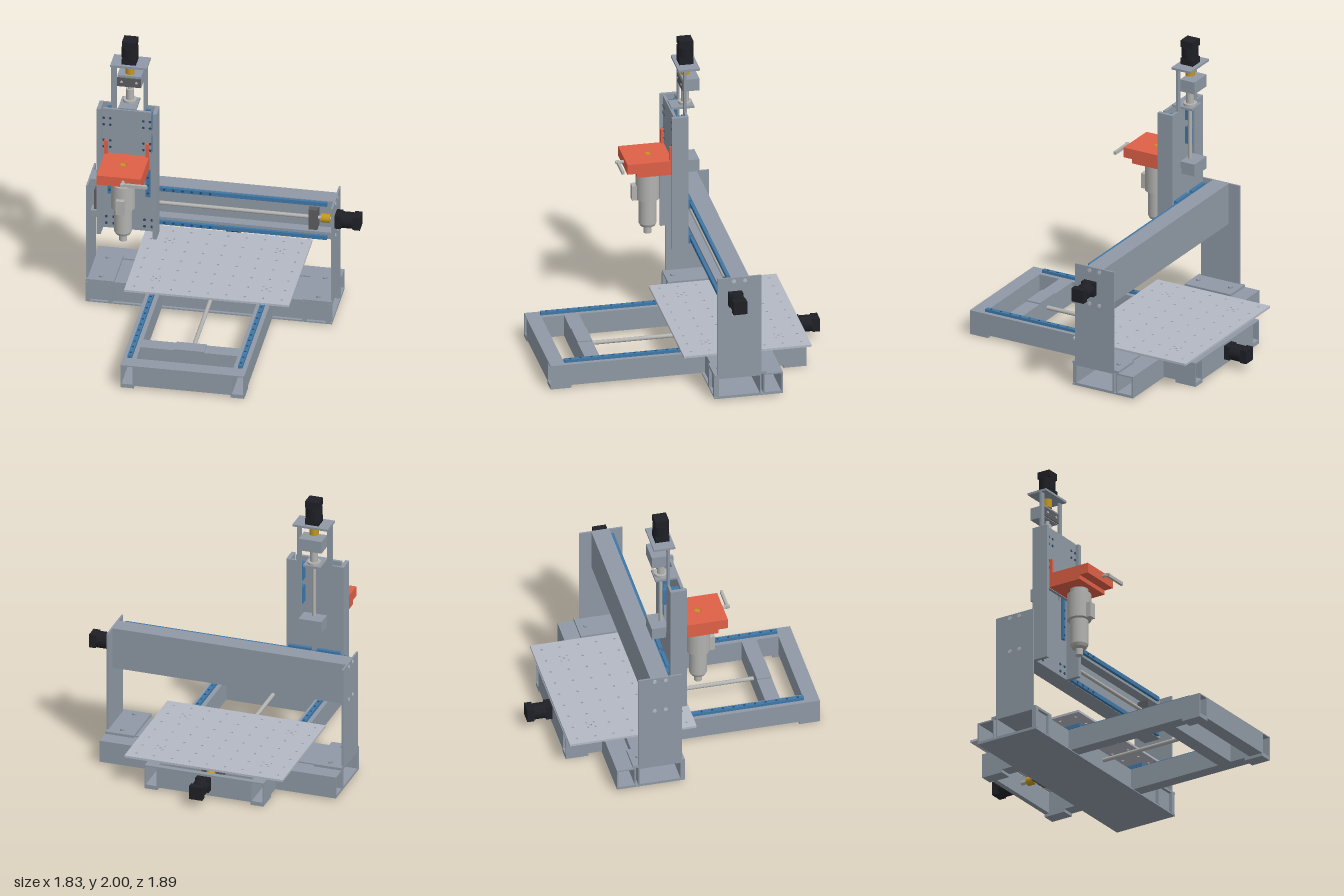
import * as THREE from 'three';

const mat = (color) => new THREE.MeshStandardMaterial({ color });
const steel = mat(0x8f99a5), plate = mat(0xb4b9c4), blue = mat(0x3f78a8), navy = mat(0x2c4a66);
const black = mat(0x1f2026), orange = mat(0xdf6047), gold = mat(0xc2971f), silver = mat(0xb2b2b0), dark = mat(0x5c5d60);

export function createModel() {
  const model = new THREE.Group();
  const add = (name, geo, m, x = 0, y = 0, z = 0) => {
    const mesh = new THREE.Mesh(geo, m);
    mesh.name = name;
    mesh.position.set(x, y, z);
    model.add(mesh);
    return mesh;
  };
  // Box given by its limits on each axis
  const box = (name, m, x0, x1, y0, y1, z0, z1) =>
    add(name, new THREE.BoxGeometry(x1 - x0, y1 - y0, z1 - z0), m, (x0 + x1) / 2, (y0 + y1) / 2, (z0 + z1) / 2);
  // Cylinder centred at a point, along the given axis
  const rod = (name, m, r, len, axis, x, y, z, seg = 24, r2 = r) => {
    const g = new THREE.CylinderGeometry(r, r2, len, seg);
    if (axis === 'x') g.rotateZ(Math.PI / 2);
    if (axis === 'z') g.rotateX(Math.PI / 2);
    return add(name, g, m, x, y, z);
  };
  const rect = (T, x0, x1, y0, y1) => {
    const s = new T();
    s.moveTo(x0, y0); s.lineTo(x1, y0); s.lineTo(x1, y1); s.lineTo(x0, y1); s.closePath();
    return s;
  };
  const extrude = (shape, depth) => new THREE.ExtrudeGeometry(shape, { depth, bevelEnabled: false, curveSegments: 6 });
  // Open rectangular tubes along z and along x
  const tubeShape = (a0, a1, y0, y1, t) => {
    const s = rect(THREE.Shape, a0, a1, y0, y1);
    s.holes.push(rect(THREE.Path, a0 + t, a1 - t, y0 + t, y1 - t));
    return s;
  };
  const tubeZ = (name, x0, x1, y0, y1, z0, z1) =>
    add(name, extrude(tubeShape(x0, x1, y0, y1, 0.008), z1 - z0), steel, 0, 0, z0);
  const tubeX = (name, x0, x1, y0, y1, z0, z1) => {
    const g = extrude(tubeShape(-z1, -z0, y0, y1, 0.01), x1 - x0);
    g.rotateY(Math.PI / 2);
    return add(name, g, steel, x0);
  };
  // Stepper motor: square end caps and an eight-sided middle, from start along +axis
  const motor = (name, x, y, z, len, rx, rz) => {
    const g = new THREE.Group();
    g.name = name;
    const part = (w, y0, y1, geo) => {
      const m = new THREE.Mesh(geo || new THREE.BoxGeometry(w, y1 - y0, w), black);
      m.position.y = (y0 + y1) / 2;
      m.name = name + 'Part';
      g.add(m);
    };
    part(0.095, 0, len * 0.25);
    part(0, len * 0.25, len * 0.72, new THREE.CylinderGeometry(0.056, 0.056, len * 0.47, 8).rotateY(Math.PI / 8));
    part(0.093, len * 0.72, len);
    g.position.set(x, y, z);
    g.rotation.set(rx, 0, rz);
    model.add(g);
  };

  // Longitudinal base tubes, feet, linear rails and table bearings
  for (const [x0, x1] of [[-0.49, -0.4], [0.25, 0.34]]) {
    const c = (x0 + x1) / 2;
    tubeZ('baseRailTube', x0, x1, 0.02, 0.17, -0.775, 0.95);
    box('foot', steel, x0, x1, 0, 0.02, 0.81, 0.95);
    box('foot', steel, x0, x1, 0, 0.02, -0.775, -0.62);
    box('tableRail', blue, c - 0.015, c + 0.015, 0.17, 0.19, -0.68, 0.85);
    for (let z = -0.64; z < 0.84; z += 0.0725) rod('railScrew', navy, 0.008, 0.004, 'y', c, 0.19, z, 10);
    for (const z of [-0.07, -0.59]) box('tableBearing', blue, c - 0.033, c + 0.033, 0.178, 0.205, z - 0.06, z + 0.06);
  }
  // Cross beams between the base tubes
  for (const [z0, z1] of [[0.85, 0.95], [0.6, 0.7], [-0.775, -0.74]]) box('crossBeam', steel, -0.4, 0.25, 0.02, 0.17, z0, z1);
  for (const [z0, z1] of [[-0.385, -0.09], [-0.53, -0.4]]) {
    tubeX('gantryBaseTube', -0.91, -0.49, 0.022, 0.168, z0, z1);
    box('gantryBaseMiddle', steel, -0.4, 0.25, 0.022, 0.168, z0, z1);
    tubeX('gantryBaseTube', 0.34, 0.74, 0.022, 0.168, z0, z1);
  }
  box('basePlate', steel, -0.91, 0.74, 0.014, 0.024, -0.53, -0.07);

  // Table drive
  rod('tableScrew', silver, 0.014, 1.37, 'z', -0.075, 0.11, -0.055);
  box('tableScrewBearing', dark, -0.15, 0.0, 0.07, 0.165, 0.61, 0.65);
  box('bearingSeat', steel, -0.175, 0.025, 0.165, 0.178, 0.6, 0.7);
  box('tableScrewBearing', dark, -0.15, 0.0, 0.07, 0.165, -0.61, -0.56);
  rod('tableCoupling', gold, 0.03, 0.06, 'z', -0.075, 0.11, -0.66);
  box('tableNutBlock', steel, -0.15, 0.0, 0.16, 0.205, -0.43, -0.3);
  motor('tableMotor', -0.075, 0.108, -0.775, 0.17, -Math.PI / 2, 0);

  // Drilled work table
  const table = rect(THREE.Shape, -0.625, 0.48, -0.08, 0.78);
  const drill = (x, y, r) => { const p = new THREE.Path(); p.absarc(x, y, r, 0, Math.PI * 2, true); table.holes.push(p); };
  for (let i = 0; i < 9; i++) for (let j = 0; j < 7; j++) drill(-0.57 + i * 0.1235, -0.022 + j * 0.1235, 0.009);
  for (const x of [-0.445, 0.295]) for (const y of [0.1, 0.595])
    for (const sx of [-1, 1]) for (const sy of [-1, 1]) drill(x + sx * 0.025, y + sy * 0.025, 0.007);
  add('workTable', extrude(table, 0.015).rotateX(-Math.PI / 2), plate, 0, 0.205, 0);

  // Gantry corner plates, brackets and uprights
  for (const [x0, x1, out] of [[-0.91, -0.72, -0.905], [0.54, 0.74, 0.735]]) {
    box('cornerPlate', steel, x0, x1, 0.168, 0.185, -0.42, -0.07);
    for (const [a, b] of [[x0, x0 + 0.03], [x1 - 0.04, x1 - 0.01]]) box('cornerBracket', steel, a, b, 0.024, 0.168, -0.092, -0.068);
    for (const z of [-0.365, -0.12]) rod('cornerBolt', steel, 0.015, 0.014, 'y', (x0 + x1) / 2, 0.188, z, 12);
    box('gantryUpright', steel, out - 0.006, out + 0.006, 0.16, 0.89, -0.385, -0.09);
    for (const y of [0.625, 0.865]) for (const z of [-0.2, -0.275]) rod('uprightBolt', plate, 0.014, 0.02, 'x', out, y, z, 12);
  }
  // Gantry beam as a channel open to the front, with its rails
  box('beamBack', steel, -0.9, 0.73, 0.6, 0.89, -0.302, -0.25);
  box('beamTop', steel, -0.9, 0.73, 0.84, 0.89, -0.25, -0.18);
  box('beamBottom', steel, -0.9, 0.73, 0.6, 0.65, -0.25, -0.18);
  for (const y of [0.872, 0.617]) {
    box('gantryRail', blue, -0.85, 0.69, y - 0.014, y + 0.014, -0.18, -0.16);
    for (let x = -0.4; x < -0.05; x += 0.0615) rod('railScrew', navy, 0.009, 0.004, 'z', x, y, -0.16, 10);
    for (const x of [-0.73, -0.53]) box('carriageBearing', blue, x - 0.08, x + 0.08, y - 0.03, y + 0.03, -0.172, -0.145);
  }
  // Gantry drive
  rod('gantryScrew', silver, 0.013, 1.6, 'x', -0.07, 0.745, -0.205);
  box('gantryScrewBearing', dark, 0.565, 0.625, 0.67, 0.82, -0.25, -0.165);
  box('gantryScrewBearing', dark, -0.87, -0.81, 0.67, 0.82, -0.25, -0.165);
  rod('gantryCoupling', gold, 0.03, 0.06, 'x', 0.675, 0.745, -0.205);
  motor('gantryMotor', 0.741, 0.745, -0.207, 0.17, 0, -Math.PI / 2);

  // Vertical carriage: slotted back plate with side flanges
  const back = new THREE.Shape();
  [[-0.83, 0.56], [-0.43, 0.56], [-0.43, 1.52], [-0.505, 1.52], [-0.505, 1.82], [-0.535, 1.82], [-0.535, 1.1],
    [-0.715, 1.1], [-0.715, 1.82], [-0.75, 1.82], [-0.75, 1.52], [-0.83, 1.52]]
    .forEach(([x, y], i) => (i ? back.lineTo(x, y) : back.moveTo(x, y)));
  add('carriageBack', extrude(back, 0.015), steel, 0, 0, -0.147);
  for (const x of [-0.83, -0.455]) box('carriageFlange', steel, x, x + 0.027, 0.56, 1.52, -0.14, -0.035);
  for (const s of [-1, 1]) {
    const x = -0.63 + s * 0.128;
    box('verticalRail', blue, x - 0.014, x + 0.014, 0.83, 1.5, -0.132, -0.115);
    for (let y = 0.86; y < 1.1; y += 0.06) rod('railScrew', navy, 0.008, 0.004, 'z', x, y, -0.115, 10);
    for (const y of [1.255, 1.425]) {
      box('verticalBearing', blue, x - 0.034, x + 0.034, y - 0.06, y + 0.06, -0.125, -0.07);
      for (const dx of [-0.022, 0.022]) for (const dy of [-0.025, 0.025])
        rod('slideBolt', navy, 0.009, 0.006, 'z', x + dx + s * 0.005, y + dy, -0.05, 10);
    }
    for (const dx of [-0.025, 0.025]) for (const y of [0.595, 0.645]) rod('carriageBolt', navy, 0.01, 0.006, 'z', x + dx, y, -0.132, 10);
    box('clampTab', orange, x - 0.011 + s * 0.01, x + 0.011 + s * 0.01, 1.18, 1.285, -0.05, -0.03);
  }
  box('slidePlate', steel, -0.79, -0.47, 1.08, 1.52, -0.07, -0.05);

  // Vertical drive
  const cx = -0.63, sz = -0.165;
  rod('verticalScrew', silver, 0.013, 0.7, 'y', cx, 1.43, sz);
  for (const y of [1.06, 1.65]) box('verticalScrewBearing', steel, -0.71, -0.55, y, y + 0.085, -0.245, -0.135);
  box('bearingCover', dark, -0.71, -0.55, 1.655, 1.72, -0.136, -0.128);
  for (const x of [-0.68, -0.58]) rod('coverBolt', plate, 0.009, 0.006, 'z', x, 1.69, -0.128, 10);
  box('nutBracket', steel, -0.69, -0.57, 1.515, 1.53, -0.215, -0.06);
  rod('nutFlange', silver, 0.045, 0.018, 'y', cx, 1.538, sz);
  rod('screwNut', silver, 0.026, 0.08, 'y', cx, 1.585, sz);
  rod('verticalCoupling', gold, 0.031, 0.06, 'y', cx, 1.775, sz);
  box('motorPlate', steel, -0.75, -0.505, 1.815, 1.83, -0.24, -0.095);
  motor('verticalMotor', cx, 1.83, sz, 0.17, 0, 0);

  // Spindle clamp with a bore and a small crank
  const clamp = rect(THREE.Shape, -0.778, -0.48, -0.255, 0.05);
  const bore = new THREE.Path();
  bore.absarc(cx, -0.085, 0.022, 0, Math.PI * 2, true);
  clamp.holes.push(bore);
  add('spindleClamp', extrude(clamp, 0.07).rotateX(-Math.PI / 2), orange, 0, 1.115, 0);
  box('clampLowerStep', orange, -0.778, -0.48, 1.085, 1.115, -0.05, 0.19);
  rod('clampCrank', silver, 0.011, 0.06, 'z', -0.6, 1.155, 0.28, 12);
  box('clampHandle', silver, -0.61, -0.43, 1.143, 1.165, 0.285, 0.303);

  // Spindle
  const profile = [[0, 0.61], [0.026, 0.61], [0.026, 0.655], [0.05, 0.665], [0.06, 0.685], [0.06, 0.86], [0.08, 0.865],
    [0.08, 1.05], [0.062, 1.06], [0.062, 1.09], [0, 1.09]];
  for (let i = 1; i < profile.length; i++) {
    const [r0, y0] = profile[i - 1], [r1, y1] = profile[i];
    add('spindleBody', new THREE.LatheGeometry([new THREE.Vector2(r0, y0), new THREE.Vector2(r1, y1)], 32), silver, cx, 0, 0.088);
  }
  box('spindleSwitchBox', silver, -0.66, -0.605, 0.86, 0.965, 0.14, 0.197);
  rod('spindleTop', gold, 0.02, 0.02, 'y', cx, 1.175, 0.085);

  return model;
}
